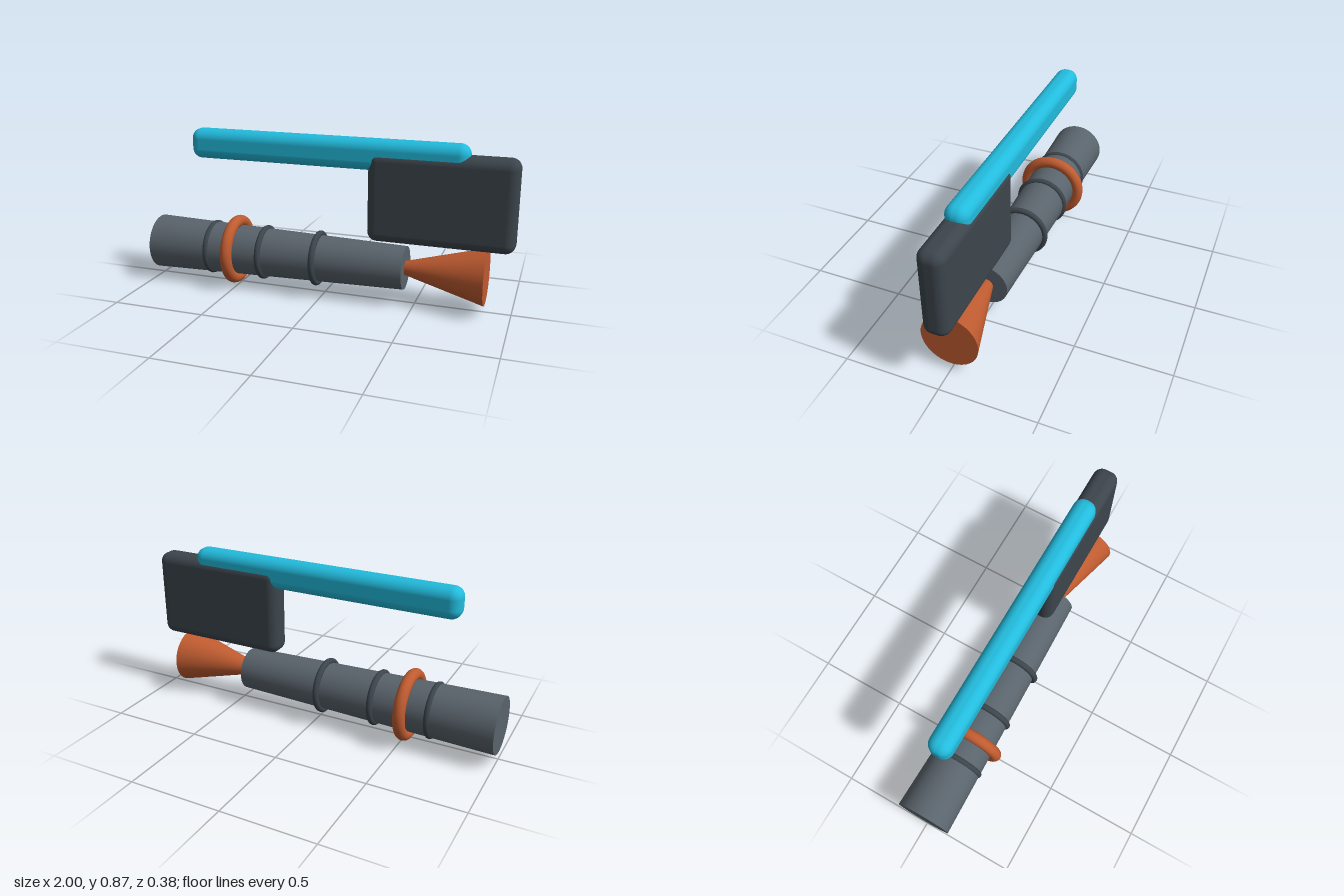
import * as THREE from 'three';
import { RoundedBoxGeometry } from 'three/addons/geometries/RoundedBoxGeometry.js';

const AXIS_Y = 0.194;

export function createModel() {
  const model = new THREE.Group();
  const mat = (color) => new THREE.MeshStandardMaterial({ color });
  const steel = mat(0x59636b), dark = mat(0x3c454c), orange = mat(0xbf5b30), cyan = mat(0x22bbdd);

  const add = (name, geometry, material, x, y) => {
    const mesh = new THREE.Mesh(geometry, material);
    mesh.name = name;
    mesh.position.set(x, y, 0);
    model.add(mesh);
  };

  // Round section along x, from radius r0 at x0 to r1 at x1
  const taper = (name, x0, x1, r0, r1, material) => {
    const g = new THREE.CylinderGeometry(r1, r0, x1 - x0, 48).rotateZ(-Math.PI / 2);
    add(name, g, material, (x0 + x1) / 2, AXIS_Y);
  };

  // Ring around the barrel
  const ring = (name, x, radius, tube, material) => {
    const g = new THREE.TorusGeometry(radius, tube, 16, 48).rotateY(Math.PI / 2);
    add(name, g, material, x, AXIS_Y);
  };

  // Rounded block given by its extents
  const block = (name, x0, x1, y0, y1, depth, radius, material) => {
    const g = new RoundedBoxGeometry(x1 - x0, y1 - y0, depth, 6, radius);
    add(name, g, material, (x0 + x1) / 2, (y0 + y1) / 2);
  };

  // Barrel with its flared nozzle
  taper('barrel', -1, 0.445, 0.15, 0.115, steel);
  taper('nozzle', 0.44, 0.865, 0.036, 0.15, orange);

  // Bands and collar
  [-0.657, -0.347, -0.037].forEach((x, i) => ring('band' + (i + 1), x, 0.134, 0.0165, dark));
  ring('collar', -0.52, 0.16, 0.032, orange);

  // Housing and top rail
  block('housing', 0.24, 1, 0.335, 0.815, 0.137, 0.052, dark);
  block('topRail', -0.76, 0.755, 0.709, 0.872, 0.124, 0.054, cyan);

  return model;
}
